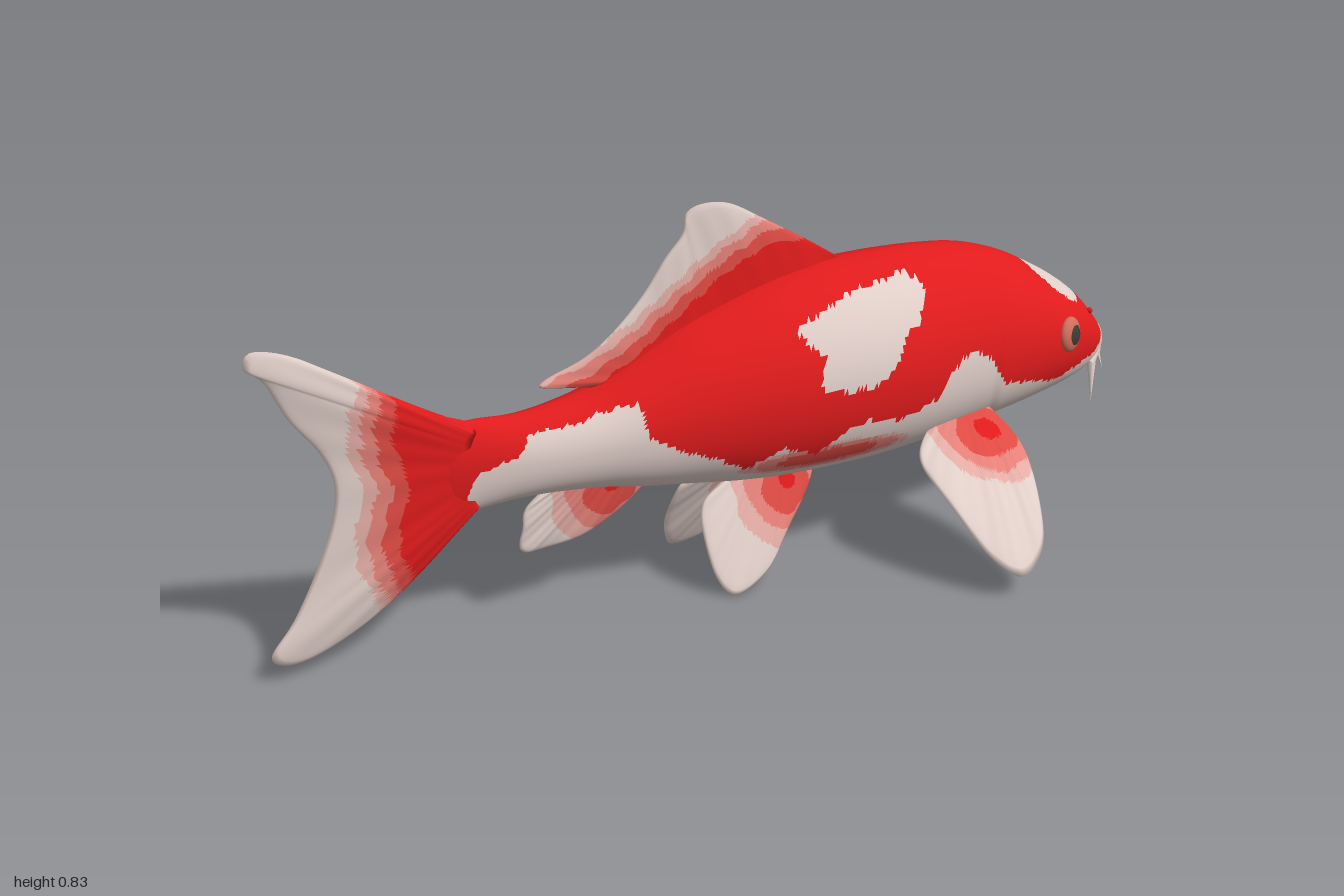
import * as THREE from 'three';

const mat = (name, color) => Object.assign(new THREE.MeshStandardMaterial({ color, side: THREE.DoubleSide }), { name });
const RED = 0, SALMON = 1, ROSE = 2, BLUSH = 3, PALE = 4;
const V2 = (a) => a.map(([x, y]) => new THREE.Vector2(x, y));

// Piecewise linear lookup in a list of [x, y] with falling x
function lookup(list, x) {
  for (let i = 1; i < list.length; i++) {
    const [x0, y0] = list[i - 1], [x1, y1] = list[i];
    if (x <= x0 && x >= x1) return y0 + (y1 - y0) * (x - x0) / (x1 - x0);
  }
  return x > list[0][0] ? list[0][1] : list[list.length - 1][1];
}

function inside(poly, x, y) {
  let hit = false;
  for (let i = 0, j = poly.length - 1; i < poly.length; j = i++) {
    const [xi, yi] = poly[i], [xj, yj] = poly[j];
    if ((yi > y) !== (yj > y) && x < (xj - xi) * (y - yi) / (yj - yi) + xi) hit = !hit;
  }
  return hit;
}

// Surface over a grid, welded round v, with each face put in the colour group chosen by paint
function paintedLoft(name, nu, nv, point, paint, mats) {
  const pos = [], faces = mats.map(() => []);
  const pts = [];
  for (let i = 0; i <= nu; i++) for (let j = 0; j < nv; j++) {
    const p = point(i / nu, j / nv);
    pts.push(p);
    pos.push(p.x, p.y, p.z);
  }
  const c = new THREE.Vector3();
  const tri = (a, b, d) => {
    c.copy(pts[a]).add(pts[b]).add(pts[d]).divideScalar(3);
    faces[paint(c)].push(a, b, d);
  };
  for (let i = 0; i < nu; i++) for (let j = 0; j < nv; j++) {
    const k = (j + 1) % nv, a = i * nv + j, b = i * nv + k;
    tri(a, b, a + nv);
    tri(b, b + nv, a + nv);
  }
  const g = new THREE.BufferGeometry();
  g.setAttribute('position', new THREE.Float32BufferAttribute(pos, 3));
  g.setIndex(faces.flat());
  let start = 0;
  faces.forEach((f, m) => { if (f.length) g.addGroup(start, f.length, m); start += f.length; });
  g.computeVertexNormals();
  const mesh = new THREE.Mesh(g, mats);
  mesh.name = name;
  return mesh;
}

// Fin with rays running from a root curve to a rim curve; place() maps it into space
function fin(name, root, rim, thick, place, dist, mats) {
  const a = new THREE.SplineCurve(V2(root)), b = new THREE.SplineCurve(V2(rim));
  return paintedLoft(name, 84, 60, (v, s) => {
    const u = s < 0.5 ? s * 2 : 2 - s * 2, side = s < 0.5 ? 1 : -1;
    const p = a.getPoint(v).lerp(b.getPoint(v), u);
    const ray = 1 + 0.1 * u * Math.sin(v * Math.PI * 26);
    const t = (thick * (1 - u) + 0.006) * Math.sqrt(1 - u ** 8) * Math.min(1, 10 * v * (1 - v)) * ray;
    const wave = 0.002 * u * Math.sin(v * Math.PI * 9);
    return place(p.x, p.y, side * t + wave);
  }, (p) => {
    const d = dist(p) + 0.004 * Math.sin(p.x * 60 + p.y * 75);
    return d < 0 ? RED : d < 0.035 ? SALMON : d < 0.065 ? ROSE : d < 0.09 ? BLUSH : PALE;
  }, mats);
}

// Body sections: x, top, bottom, half width, height of the widest point
const sections = [
  [-0.68, 0.40, 0.36, 0.008, 0.38], [-0.62, 0.465, 0.275, 0.028, 0.375], [-0.56, 0.472, 0.28, 0.04, 0.375],
  [-0.48, 0.465, 0.285, 0.056, 0.375], [-0.4, 0.47, 0.283, 0.072, 0.375], [-0.3, 0.49, 0.272, 0.093, 0.38],
  [-0.2, 0.535, 0.253, 0.117, 0.385], [-0.1, 0.582, 0.238, 0.14, 0.395], [0, 0.615, 0.222, 0.16, 0.405],
  [0.1, 0.642, 0.212, 0.176, 0.41], [0.2, 0.657, 0.208, 0.186, 0.415], [0.3, 0.661, 0.207, 0.19, 0.415],
  [0.4, 0.66, 0.211, 0.187, 0.412], [0.5, 0.654, 0.22, 0.178, 0.41], [0.6, 0.64, 0.232, 0.168, 0.408],
  [0.7, 0.607, 0.243, 0.157, 0.405], [0.78, 0.566, 0.254, 0.144, 0.4], [0.85, 0.524, 0.265, 0.127, 0.392],
  [0.91, 0.478, 0.279, 0.103, 0.38], [0.955, 0.43, 0.295, 0.076, 0.363], [0.982, 0.395, 0.316, 0.05, 0.352],
  [0.992, 0.365, 0.335, 0.02, 0.35], [0.992, 0.351, 0.349, 0.001, 0.35],
];
const heights = new THREE.CatmullRomCurve3(sections.map((s) => new THREE.Vector3(s[0], s[1], s[2])), false, 'catmullrom');
const widths = new THREE.CatmullRomCurve3(sections.map((s) => new THREE.Vector3(s[0], s[3], s[4])), false, 'catmullrom');

function bodyPoint(u, v) {
  const h = heights.getPoint(u), w = widths.getPoint(u), a = v * Math.PI * 2;
  const c = Math.cos(a), s = Math.sin(a);
  const y = w.z + (c > 0 ? (h.y - w.z) * c : (w.z - h.z) * -Math.pow(-c, 0.9));
  let z = w.y * Math.sign(s) * Math.pow(Math.abs(s), c > 0 ? 1.2 : 0.9);
  // gill covers stand slightly proud of the flank
  const gill = h.x - 0.59 - 1.6 * (y - 0.38) ** 2;
  if (gill > 0 && y < 0.56) z *= 1 + 0.03 * Math.min(1, gill / 0.012) * Math.max(0, 1 - gill / 0.2);
  return new THREE.Vector3(h.x, y, z);
}

// Markings: upper edge of the pale belly, flank patch (x, y) and forehead patch (x, z)
const bellyEdge = [[1, 0.4], [0.975, 0.39], [0.955, 0.368], [0.93, 0.35], [0.87, 0.342], [0.79, 0.32], [0.72, 0.34],
  [0.62, 0.36], [0.57, 0.43], [0.52, 0.46], [0.465, 0.43], [0.43, 0.375], [0.33, 0.345], [0.25, 0.36], [0.2, 0.35],
  [0.14, 0.3], [0.06, 0.33], [-0.02, 0.29], [-0.085, 0.33], [-0.14, 0.35], [-0.18, 0.37], [-0.23, 0.4], [-0.235, 0.465],
  [-0.31, 0.455], [-0.36, 0.44], [-0.46, 0.435], [-0.48, 0.4], [-0.57, 0.37], [-0.59, 0.33], [-0.595, 0]];
const flankPatch = [[0.11, 0.57], [0.16, 0.59], [0.24, 0.615], [0.4, 0.633], [0.425, 0.61], [0.43, 0.585], [0.4, 0.565],
  [0.395, 0.54], [0.35, 0.53], [0.33, 0.49], [0.28, 0.44], [0.2, 0.435], [0.13, 0.455], [0.155, 0.515], [0.12, 0.54]];
const headPatch = [[0.76, -0.01], [0.763, 0.03], [0.78, 0.058], [0.81, 0.078], [0.85, 0.083], [0.882, 0.073], [0.9, 0.04], [0.908, -0.01]];

function paintBody(p) {
  const rough = 0.002 * Math.sin(p.x * 130) + 0.002 * Math.sin(p.x * 310);
  if (p.y > 0.45 && inside(headPatch, p.x, Math.abs(p.z))) return PALE;
  if (inside(flankPatch, p.x + rough, p.y + rough)) return PALE;
  const d = lookup(bellyEdge, p.x) + rough - p.y;
  if (d < 0) return RED;
  // soft flush on the belly between the paired fins
  const flush = Math.hypot((p.x - 0.17) / 0.2, (p.y - 0.288) / 0.034) + rough * 10;
  return flush < 0.6 ? SALMON : flush < 0.85 ? ROSE : flush < 1 ? BLUSH : PALE;
}

export function createModel() {
  const mats = [mat('red', 0xe01b1c), mat('salmon', 0xdf4a44), mat('rose', 0xe48078),
    mat('blush', 0xe3aca5), mat('pale', 0xe0cec8)];
  const dark = mat('dark', 0x403a36), iris = mat('iris', 0xcf6d5c);
  const fish = new THREE.Group();
  fish.name = 'fish';
  fish.add(paintedLoft('body', 250, 96, bodyPoint, paintBody, mats));

  const upright = (x, y, o) => new THREE.Vector3(x, y, o);
  // Forked tail
  fish.add(fin('tailFin', [[-0.56, 0.462], [-0.58, 0.42], [-0.58, 0.33], [-0.56, 0.285]],
    [[-0.58, 0.475], [-0.7, 0.53], [-0.8, 0.6], [-0.9, 0.67], [-0.98, 0.697], [-1, 0.668], [-0.965, 0.635], [-0.925, 0.55],
      [-0.87, 0.47], [-0.848, 0.4], [-0.86, 0.32], [-0.9, 0.22], [-0.95, 0.13], [-1, 0.068], [-0.97, 0.04], [-0.9, 0.047],
      [-0.8, 0.09], [-0.7, 0.16], [-0.62, 0.235], [-0.57, 0.275]],
    0.024, upright, (p) => -0.7 - p.x - 0.03 * Math.sin(Math.abs(p.y - 0.37) * 14), mats));

  // Dorsal fin
  const dorsalRed = [[0.3, 0.72], [0.2, 0.72], [0.1, 0.72], [0, 0.677], [-0.1, 0.612], [-0.2, 0.54], [-0.3, 0.49], [-0.42, 0.455]];
  fish.add(fin('dorsalFin', [[0.27, 0.64], [0.1, 0.62], [-0.1, 0.56], [-0.2, 0.515], [-0.29, 0.48]],
    [[0.285, 0.66], [0.2, 0.715], [0.1, 0.775], [0.02, 0.82], [-0.04, 0.83], [-0.08, 0.815], [-0.09, 0.775], [-0.13, 0.73],
      [-0.18, 0.66], [-0.25, 0.595], [-0.32, 0.55], [-0.4, 0.522], [-0.41, 0.507], [-0.33, 0.495]],
    0.01, upright, (p) => (p.y - lookup(dorsalRed, p.x)) * 1.2, mats));

  // Anal fin
  fish.add(fin('analFin', [[-0.19, 0.27], [-0.3, 0.29], [-0.39, 0.3]],
    [[-0.18, 0.25], [-0.26, 0.19], [-0.34, 0.16], [-0.43, 0.152], [-0.47, 0.162], [-0.465, 0.21], [-0.455, 0.25], [-0.41, 0.287]],
    0.01, upright, (p) => (Math.hypot(p.x + 0.27, p.y - 0.265) - 0.015) * 0.75, mats));

  for (const side of [1, -1]) {
    const label = side > 0 ? 'left' : 'right';
    // Pelvic fins, splayed downwards
    fish.add(fin(label + 'PelvicFin', [[0.19, 0.24], [0.1, 0.245], [0.03, 0.245]],
      [[0.21, 0.222], [0.17, 0.16], [0.1, 0.09], [0.04, 0.03], [-0.04, 0.004], [-0.075, 0.04], [-0.088, 0.11], [-0.075, 0.19], [-0.01, 0.225]],
      0.008, (x, y, o) => new THREE.Vector3(x, y + o * 0.4, side * (0.037 + (0.22 - y) * 0.45 + o)),
      (p) => (Math.hypot(p.x - 0.125, p.y - 0.2) - 0.018) * 0.8, mats));

    // Pectoral fins, arched outwards
    fish.add(fin(label + 'PectoralFin', [[0.6, 0.12], [0.55, 0.115], [0.48, 0.115]],
      [[0.605, 0.14], [0.615, 0.26], [0.567, 0.385], [0.51, 0.433], [0.455, 0.438], [0.405, 0.385], [0.367, 0.28], [0.37, 0.2], [0.44, 0.135]],
      0.008, (x, z, o) => new THREE.Vector3(x, 0.29 - (z - 0.13) * 0.35 - 1.3 * (z - 0.13) ** 2 + o, side * (z + o * 0.6)),
      (p) => (Math.hypot(p.x - 0.548, p.y - 0.27, Math.abs(p.z) - 0.19) - 0.03) * 0.85, mats));

    // Eyes: flattened iris with a dark pupil
    const eye = new THREE.Group();
    eye.name = label + 'Eye';
    const ball = new THREE.Mesh(new THREE.SphereGeometry(0.04, 24, 16).scale(1, 1, 0.45), iris);
    ball.name = 'iris';
    const pupil = new THREE.Mesh(new THREE.SphereGeometry(0.026, 24, 16).scale(1, 1, 0.45), dark);
    pupil.name = 'pupil';
    pupil.position.z = 0.009;
    eye.add(ball, pupil);
    eye.position.set(0.82, 0.423, side * 0.127);
    eye.lookAt(0.82 + 0.5, 0.423 + 0.12, side * 1.127);
    fish.add(eye);

    // Nostril
    const nostril = new THREE.Mesh(new THREE.SphereGeometry(0.007, 10, 8), mats[RED]);
    nostril.name = label + 'Nostril';
    nostril.position.set(0.925, 0.44, side * 0.066);
    fish.add(nostril);

    // Barbels: a long one at the mouth corner and a short one above
    for (const [name, from, to, r] of [['Barbel', [0.94, 0.34, 0.066], [0.915, 0.232, 0.105], 0.013],
      ['ShortBarbel', [0.955, 0.345, 0.062], [0.955, 0.3, 0.09], 0.007]]) {
      const a = new THREE.Vector3(from[0], from[1], side * from[2]), b = new THREE.Vector3(to[0], to[1], side * to[2]);
      const cone = new THREE.Mesh(new THREE.ConeGeometry(r, a.distanceTo(b), 10), mats[PALE]);
      cone.name = label + name;
      cone.position.copy(a).lerp(b, 0.5);
      cone.quaternion.setFromUnitVectors(new THREE.Vector3(0, 1, 0), b.clone().sub(a).normalize());
      fish.add(cone);
    }
  }

  // Lips
  const lip = (name, pts, r) => {
    const curve = new THREE.CatmullRomCurve3(pts.map((p) => new THREE.Vector3(...p)));
    const m = new THREE.Mesh(new THREE.TubeGeometry(curve, 24, r, 10), mats[PALE]);
    m.name = name;
    fish.add(m);
  };
  lip('upperLip', [[0.925, 0.315, -0.08], [0.96, 0.347, -0.058], [0.982, 0.37, -0.028], [0.987, 0.375, 0],
    [0.982, 0.37, 0.028], [0.96, 0.347, 0.058], [0.925, 0.315, 0.08]], 0.011);
  lip('lowerLip', [[0.945, 0.322, -0.065], [0.975, 0.33, -0.042], [0.99, 0.337, 0], [0.975, 0.33, 0.042], [0.945, 0.322, 0.065]], 0.01);
  return fish;
}
